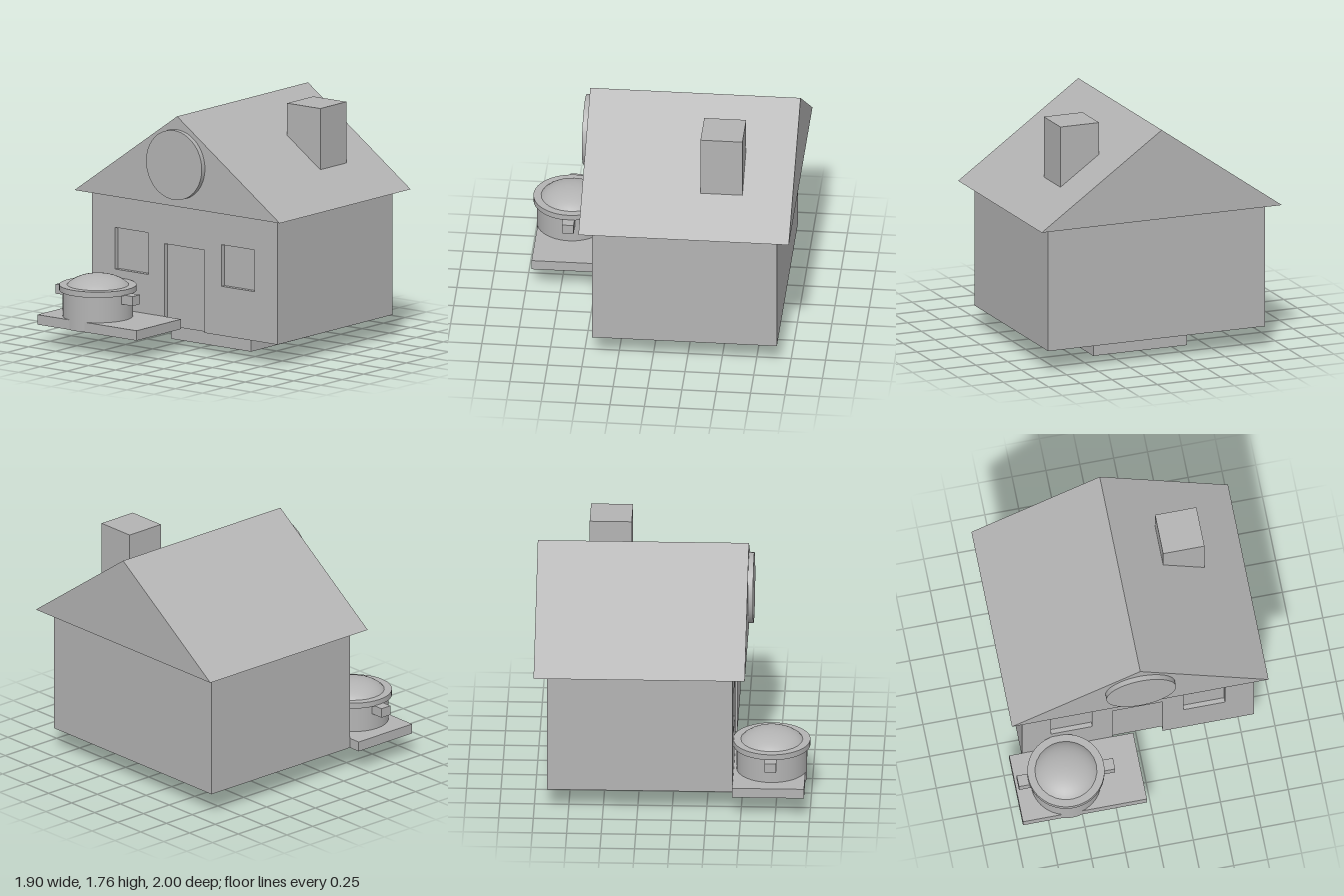
import * as THREE from 'three';

export function createModel() {
  const house = new THREE.Group();
  house.name = 'house';
  const grey = new THREE.MeshStandardMaterial({ color: 0xb3b3b3 });
  grey.name = 'plain grey';

  const add = (name, geometry, parent = house) => {
    const mesh = new THREE.Mesh(geometry, grey);
    mesh.name = name;
    parent.add(mesh);
    return mesh;
  };
  // Box given by its limits on each axis
  const box = (name, [x0, x1], [y0, y1], [z0, z1], parent) => {
    const mesh = add(name, new THREE.BoxGeometry(x1 - x0, y1 - y0, z1 - z0), parent);
    mesh.position.set((x0 + x1) / 2, (y0 + y1) / 2, (z0 + z1) / 2);
    return mesh;
  };
  const outline = (points) => points.map(([x, y]) => new THREE.Vector2(x, y));
  const extrude = (name, shape, z0, z1) => {
    const geometry = new THREE.ExtrudeGeometry(shape, { depth: z1 - z0, bevelEnabled: false });
    add(name, geometry).position.z = z0;
  };

  // Foundation and main walls
  box('foundation', [-0.37, 0.37], [0, 0.165], [-0.605, 0.135]);
  box('walls', [-0.855, 0.855], [0.165, 1.09], [-0.905, 0.405]);

  // Front wall layer with a door notch and two window openings
  const front = new THREE.Shape(outline([
    [-0.855, 0.165], [-0.188, 0.165], [-0.188, 0.777], [0.183, 0.777],
    [0.183, 0.165], [0.855, 0.165], [0.855, 1.09], [-0.855, 1.09],
  ]));
  for (const x of [-0.643, 0.337]) {
    front.holes.push(new THREE.Path(outline([
      [x, 0.53], [x, 0.838], [x + 0.306, 0.838], [x + 0.306, 0.53],
    ])));
  }
  extrude('frontWall', front, 0.405, 0.44);

  // Gable roof, chimney and round gable panel
  extrude('roof', new THREE.Shape(outline([[-0.947, 1.09], [0.947, 1.09], [0, 1.758]])), -1, 0.53);
  box('chimney', [0.337, 0.642], [1.25, 1.758], [-0.635, -0.33]);
  const panel = add('gablePanel', new THREE.CylinderGeometry(0.257, 0.257, 0.045, 48));
  panel.rotation.x = Math.PI / 2;
  panel.position.set(0, 1.403, 0.545);

  // Terrace beside the door
  box('terrace', [-0.95, -0.035], [0.165, 0.238], [0.44, 0.96]);

  // Covered pot with side handles
  const pot = new THREE.Group();
  pot.name = 'pot';
  pot.position.set(-0.585, 0, 0.715);
  house.add(pot);
  add('potBody', new THREE.CylinderGeometry(0.256, 0.256, 0.265, 32), pot).position.y = 0.2975;
  add('potRim', new THREE.CylinderGeometry(0.28, 0.28, 0.042, 48), pot).position.y = 0.449;
  const dome = [];
  const spread = 1.15;
  for (let i = 0; i <= 10; i++) {
    const a = spread * (1 - i / 10);
    const rise = (Math.cos(a) - Math.cos(spread)) / (1 - Math.cos(spread));
    dome.push([0.225 * Math.sin(a) / Math.sin(spread), 0.47 + 0.078 * rise]);
  }
  add('potLid', new THREE.LatheGeometry(outline(dome), 24), pot);
  for (const side of [-1, 1]) {
    const handle = box('potHandle', [-0.07, 0.07], [0.362, 0.432], [-0.043, 0.043], pot);
    handle.position.x = side * 0.285;
  }

  return house;
}
